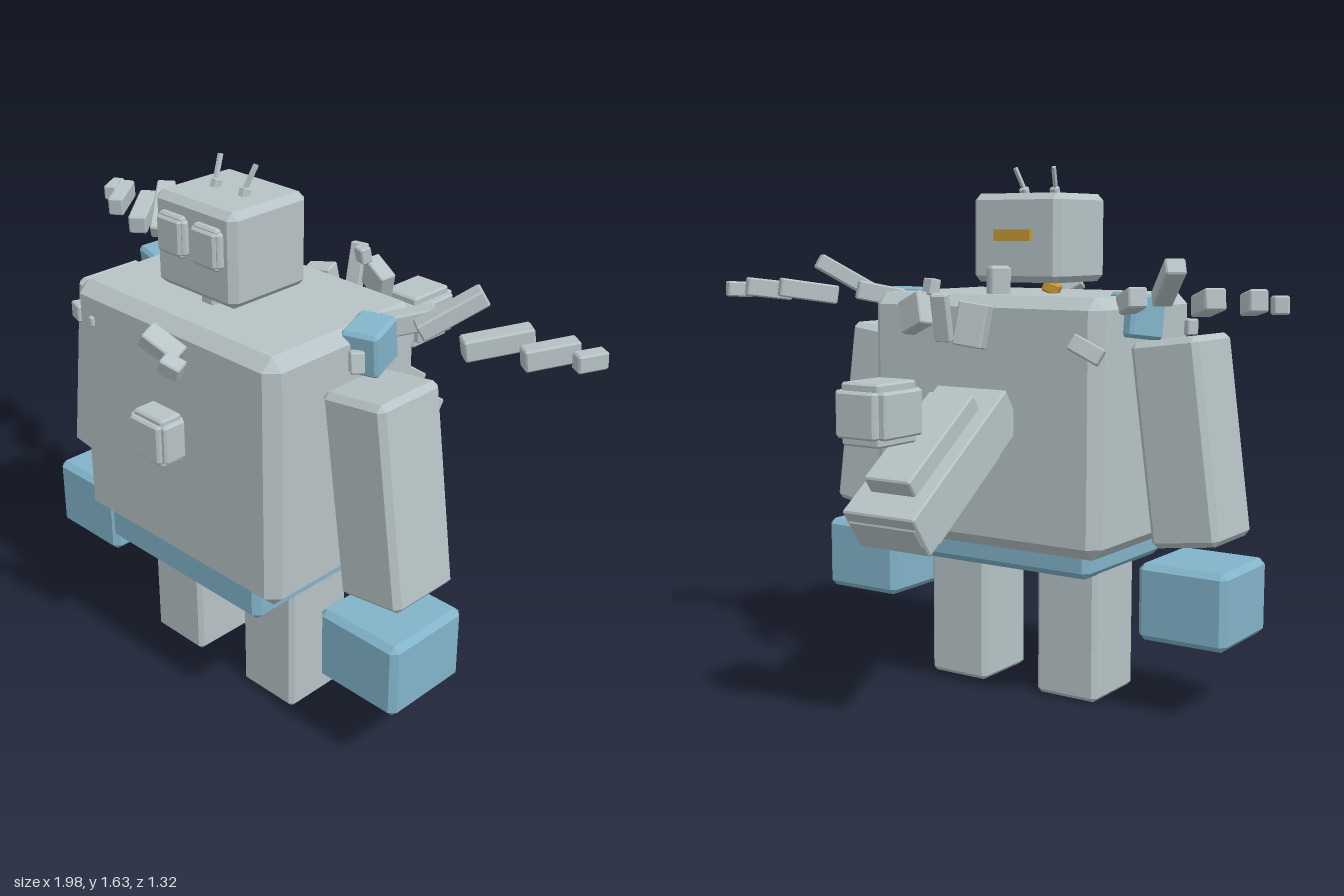
import * as THREE from 'three';
import { ConvexGeometry } from 'three/addons/geometries/ConvexGeometry.js';

const makeMaterial = (name, color) => {
  const m = new THREE.MeshStandardMaterial({ color });
  m.name = name;
  return m;
};

// Box with flat chamfers of width b along every edge
function chamferBox(w, h, d, b) {
  const pts = [];
  const [x, y, z] = [w / 2, h / 2, d / 2];
  for (const i of [-1, 1]) for (const j of [-1, 1]) for (const k of [-1, 1]) {
    pts.push(
      new THREE.Vector3(i * x, j * (y - b), k * (z - b)),
      new THREE.Vector3(i * (x - b), j * y, k * (z - b)),
      new THREE.Vector3(i * (x - b), j * (y - b), k * z));
  }
  return new ConvexGeometry(pts);
}

export function createModel() {
  const model = new THREE.Group();
  const grey = makeMaterial('pale grey metal', 0xb7c3c6);
  const blue = makeMaterial('soft blue metal', 0x82b4ca);
  const gold = makeMaterial('gold', 0xc99a35);

  function block(name, size, pos, material = grey, b = 0.01, rot = [0, 0, 0]) {
    const geometry = b > 0 ? chamferBox(...size, b) : new THREE.BoxGeometry(...size);
    const mesh = new THREE.Mesh(geometry, material);
    mesh.name = name;
    mesh.position.set(...pos);
    mesh.rotation.set(...rot, 'YXZ');
    model.add(mesh);
    return mesh;
  }

  // Three interlocking boxes giving stepped edges
  function steppedBlock(name, [w, h, d], pos, s) {
    block(name, [w, h - s, d - s], pos, grey, 0.006);
    block(name, [w - s, h, d - s], pos, grey, 0.006);
    block(name, [w - s, h - s, d], pos, grey, 0.006);
  }

  // Torso, hips and head
  block('torso', [0.82, 0.76, 0.58], [0, 0.866, 0.205], grey, 0.036);
  block('hips', [0.65, 0.13, 0.47], [0, 0.47, 0.243], blue, 0.02);
  block('head', [0.315, 0.27, 0.285], [-0.003, 1.412, 0.243], grey, 0.02);
  block('mouthPlate', [0.13, 0.035, 0.018], [-0.003, 1.42, 0.093], gold, 0);
  block('neckPost', [0.065, 0.13, 0.065], [0, 1.265, 0.02], grey, 0.008, [0, Math.PI / 4, 0]);
  block('neckPin', [0.05, 0.035, 0.05], [-0.105, 1.262, 0.155], gold, 0.005, [0, 0.3, 0.4]);
  block('neckPeg', [0.05, 0.045, 0.035], [0, 1.262, 0.325], grey, 0.005);

  // Chest device
  steppedBlock('chestDevice', [0.148, 0.146, 0.105], [0.001, 0.912, 0.537], 0.03);

  // Parts mirrored left and right: feather is [x, y, z, length, width, height, yaw, pitch]
  const feathers = [
    [0.955, 1.243, -0.1, 0.085, 0.042, 0.05, 0.5, 0.05],
    [0.863, 1.245, -0.057, 0.15, 0.05, 0.06, 0.6, 0.12],
    [0.717, 1.24, -0.028, 0.19, 0.058, 0.06, 0.66, 0.15],
    [0.582, 1.29, 0.0, 0.2, 0.058, 0.05, 0.7, 0.52],
    [0.455, 1.235, 0.02, 0.15, 0.055, 0.06, 0.75, 0.2],
  ];
  for (const s of [-1, 1]) {
    block('leg', [0.212, 0.45, 0.238], [s * 0.203, 0.23, 0.205], grey, 0.013);
    block('arm', [0.218, 0.605, 0.238], [s * 0.56, 0.825, 0.202], grey, 0.017, [0, 0, s * 0.136]);
    block('hand', [0.285, 0.232, 0.29], [s * 0.597, 0.35, 0.22], blue, 0.018);
    block('shoulderJoint', [0.11, 0.13, 0.135], [s * 0.412, 1.187, 0.13], blue, 0.01, [0.12, s * 0.29, 0]);
    steppedBlock('eye', [0.11, 0.118, 0.07], [s * 0.069 - 0.003, 1.442, 0.378], 0.018);
    for (const [x, y, z, len, w, h, yaw, pitch] of feathers) {
      block('wingFeather', [w, h, len], [s * x, y, z], grey, 0.005, [pitch, -s * yaw, 0]);
    }

    // Antenna with a small socket
    block('antennaSocket', [0.026, 0.03, 0.026], [s * 0.056 - 0.002, 1.553, 0.245], grey, 0.004, [-0.35, 0, 0]);
    block('antenna', [0.01, 0.095, 0.012], [s * 0.062 - 0.002, 1.585, 0.234], grey, 0, [-0.46, 0, -s * 0.17]);
  }

  // Slanted tail built from a wide slab and a thicker core, with a floating end piece
  const tail = [0, 0.762, -0.308], tilt = [-0.61, 0, 0];
  block('tailSlab', [0.25, 0.14, 0.55], tail, grey, 0.005, tilt);
  block('tailCore', [0.16, 0.245, 0.375], tail, grey, 0.005, tilt);
  block('tailMiddle', [0.238, 0.07, 0.558], tail, grey, 0.005, tilt);
  steppedBlock('tailTip', [0.176, 0.172, 0.21], [0, 0.946, -0.556], 0.045);

  // Loose fragments: [size, position, rotation]
  const fragments = [
    [[0.11, 0.05, 0.06], [0.118, 1.242, 0.605], [0.3, 0.25, -0.6]],
    [[0.06, 0.05, 0.045], [0.178, 1.208, 0.625], [0.3, 0.3, -0.4]],
    [[0.055, 0.05, 0.045], [-0.41, 1.138, 0.465], [0, -0.3, 0]],
    [[0.02, 0.03, 0.03], [-0.322, 1.14, 0.49], [0, 0, 0]],
    [[0.04, 0.06, 0.04], [0.44, 1.17, 0.21], [0, -0.7, 0.2]],
    [[0.05, 0.14, 0.03], [0, 1.188, -0.268], [-0.25, 0.2, 0]],
    [[0.1, 0.1, 0.05], [0.13, 1.195, -0.22], [0.15, -0.3, -0.4]],
    [[0.045, 0.05, 0.035], [0.095, 1.27, -0.19], [0.2, -0.3, 0]],
    [[0.09, 0.13, 0.06], [-0.01, 1.16, -0.13], [0.1, 0.3, 0.15]],
    [[0.1, 0.05, 0.04], [-0.37, 1.1, -0.085], [0.2, 0.4, 0.5]],
  ];
  for (const [size, pos, rot] of fragments) block('fragment', size, pos, grey, 0.004, rot);

  return model;
}
